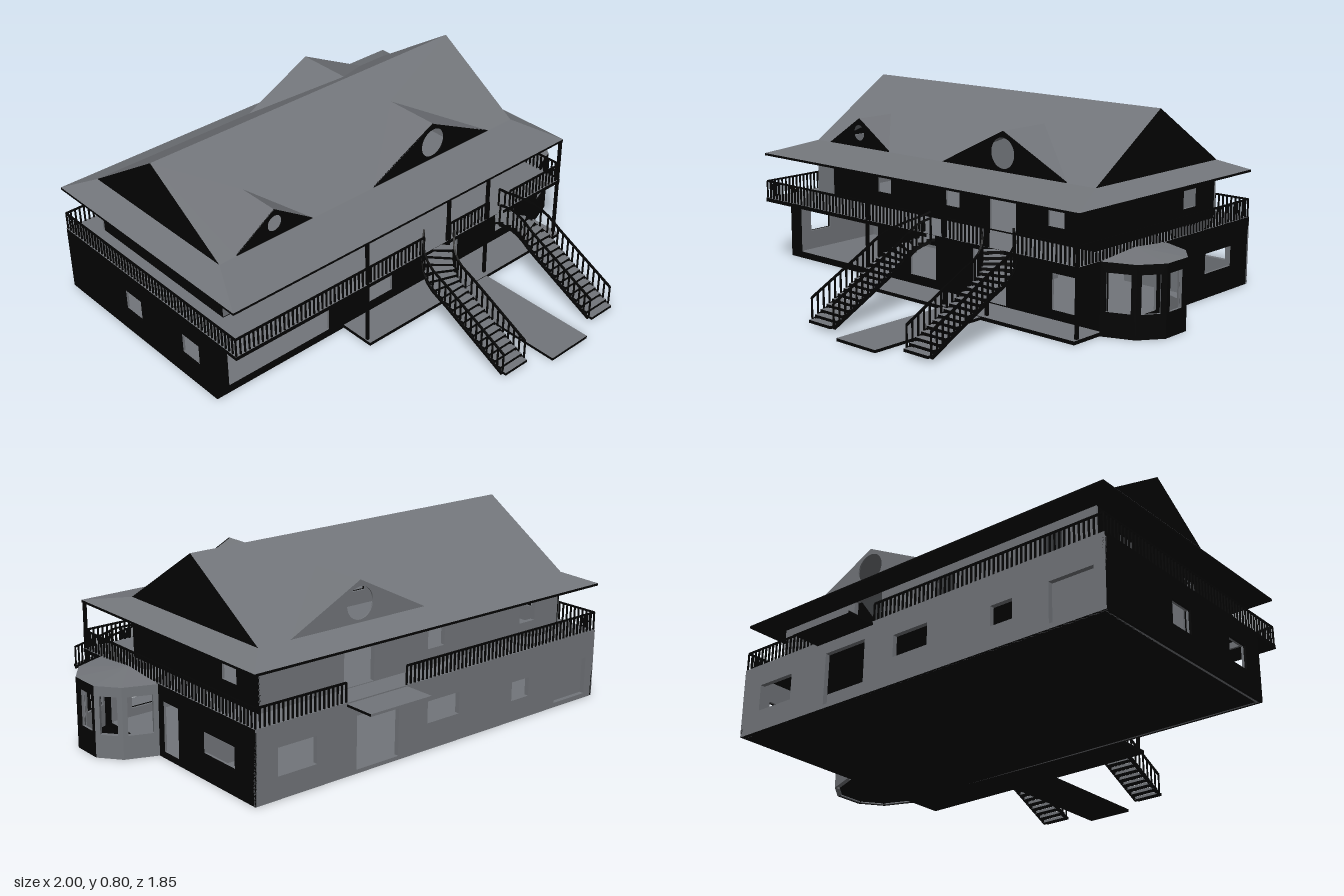
import * as THREE from 'three';

export function createModel() {
  const model = new THREE.Group();
  model.name = 'house';
  const side = THREE.DoubleSide;
  const gray = new THREE.MeshStandardMaterial({ color: 0x72757a, side });
  gray.name = 'slate gray';
  const black = new THREE.MeshStandardMaterial({ color: 0x030303, side });
  black.name = 'black';
  const mixed = [black, black, gray, black, black, gray]; // gray tops and backs

  const add = (name, geo, mat, parent = model) => {
    const m = new THREE.Mesh(geo, mat);
    m.name = name;
    parent.add(m);
    return m;
  };
  const group = (name) => {
    const g = new THREE.Group();
    g.name = name;
    model.add(g);
    return g;
  };
  // box given by its limits
  const box = (name, x0, x1, y0, y1, z0, z1, mat = mixed, parent = model) => {
    const m = add(name, new THREE.BoxGeometry(x1 - x0, y1 - y0, z1 - z0), mat, parent);
    m.position.set((x0 + x1) / 2, (y0 + y1) / 2, (z0 + z1) / 2);
    return m;
  };
  // square bar between two points
  const bar = (name, a, b, t, parent, mat = black) => {
    const p = new THREE.Vector3(...a), q = new THREE.Vector3(...b);
    const m = add(name, new THREE.BoxGeometry(t, t, p.distanceTo(q)), mat, parent);
    m.position.copy(p).lerp(q, 0.5);
    m.lookAt(q);
    return m;
  };
  const poly = (pts) => new THREE.Shape(pts.map((p) => new THREE.Vector2(...p)));
  const rect = (x0, x1, y0, y1) => poly([[x0, y0], [x1, y0], [x1, y1], [x0, y1]]);
  const faces = (name, list, mat = gray) => {
    const pos = [];
    for (const f of list)
      for (let i = 1; i < f.length - 1; i++) pos.push(...f[0], ...f[i], ...f[i + 1]);
    const g = new THREE.BufferGeometry();
    g.setAttribute('position', new THREE.Float32BufferAttribute(pos, 3));
    g.computeVertexNormals();
    return add(name, g, mat);
  };
  // wall from a to b (x, z) with rectangular holes [u0, u1, y0, y1]; gray lining inside
  const wall = (name, a, b, y0, y1, holes, outer = black) => {
    const dx = b[0] - a[0], dz = b[1] - a[1], L = Math.hypot(dx, dz);
    const g = group(name);
    [[0, -0.01, outer], [0.01, -0.02, gray]].forEach(([inset, z, mat], i) => {
      const s = rect(inset, L - inset, y0, y1);
      s.holes = holes.map((h) => rect(...h));
      const geo = new THREE.ExtrudeGeometry(s, { depth: 0.01, bevelEnabled: false });
      geo.translate(0, 0, z);
      add(i ? 'lining' : 'cladding', geo, mat, g);
    });
    g.position.set(a[0], 0, a[1]);
    g.rotation.y = Math.atan2(-dz, dx);
  };

  // floors, porch and path
  box('groundFloor', -1, 0.8, 0, 0.015, -0.8, 0.2);
  box('porchFloor', -0.35, 0.8, 0, 0.015, 0.2, 0.36);
  box('path', 0.12, 0.33, 0, 0.012, 0.36, 0.92);
  box('balconyFloor', -1, 0.8, 0.275, 0.292, -0.8, 0.34);
  box('backCanopy', 0.08, 0.38, 0.277, 0.287, -0.93, -0.8);

  // ground floor walls
  wall('groundFrontWall', [-1, 0.2], [0.8, 0.2], 0, 0.28,
    [[0.06, 0.58, 0.025, 0.25], [0.77, 0.93, 0.05, 0.2], [1.13, 1.32, 0.016, 0.23], [1.55, 1.68, 0.05, 0.2]]);
  wall('groundRightWall', [0.8, 0.2], [0.8, -0.8], 0, 0.28,
    [[0.04, 0.36, 0.02, 0.26], [0.42, 0.53, 0.02, 0.23], [0.68, 0.88, 0.1, 0.19]]);
  wall('groundBackWall', [0.8, -0.8], [-1, -0.8], 0, 0.28,
    [[0.1, 0.28, 0.09, 0.2], [0.47, 0.68, 0.016, 0.23], [0.83, 1.0, 0.11, 0.2],
      [1.3, 1.4, 0.09, 0.17], [1.56, 1.75, 0.02, 0.18]], gray);
  wall('groundLeftWall', [-1, -0.8], [-1, 0.2], 0, 0.28,
    [[0.4, 0.52, 0.1, 0.2], [0.78, 0.9, 0.1, 0.2]]);
  box('garageDoor', -0.96, -0.75, 0.016, 0.19, -0.775, -0.765, gray);
  box('leftPartition', -0.98, -0.36, 0.015, 0.275, -0.3, -0.29, gray);
  box('rightPartition', 0.42, 0.78, 0.015, 0.275, -0.45, -0.44, gray);

  // upper floor walls
  const X0 = -0.89, X1 = 0.7, Z0 = -0.69, Z1 = 0.12, EY = 0.54, RY = 0.8, RZ = -0.285;
  wall('upperFrontWall', [X0, Z1], [X1, Z1], 0.29, EY,
    [[0.38, 0.47, 0.355, 0.44], [0.79, 0.88, 0.355, 0.44], [1.04, 1.19, 0.295, 0.49], [1.35, 1.44, 0.355, 0.44]]);
  wall('upperRightWall', [X1, Z1], [X1, Z0], 0.29, EY, [[0.58, 0.68, 0.36, 0.44]]);
  wall('upperBackWall', [X1, Z0], [X0, Z0], 0.29, EY,
    [[0.4, 0.55, 0.295, 0.49], [0.83, 0.92, 0.36, 0.44], [1.35, 1.44, 0.36, 0.44]], gray);
  wall('upperLeftWall', [X0, Z0], [X0, Z1], 0.29, EY, [[0.13, 0.23, 0.36, 0.44], [0.55, 0.65, 0.36, 0.44]]);
  box('cornerPanel', X0, -0.79, 0.3, 0.49, Z1, Z1 + 0.005, gray);

  // main roof slopes, notched where the dormers open
  const slope = (name, zEave, dormers) => {
    const pts = [[X0, 0]];
    for (const [c, w, top] of dormers) pts.push([c - w, 0], [c, (top - EY) / (RY - EY)], [c + w, 0]);
    pts.push([X1, 0], [X1, 1], [X0, 1]);
    const g = new THREE.ShapeGeometry(poly(pts));
    const p = g.attributes.position;
    for (let i = 0; i < p.count; i++) {
      const t = p.getY(i);
      p.setXYZ(i, p.getX(i), EY + (RY - EY) * t, zEave + (RZ - zEave) * t);
    }
    // keep outward winding on the back slope
    if (zEave < RZ) g.setIndex([...g.index.array].reverse());
    g.computeVertexNormals();
    add(name, g, gray);
  };
  const front = [[-0.62, 0.19, 0.665, 0.035, 0.602], [0.225, 0.335, 0.705, 0.064, 0.615]];
  const back = [[0.225, 0.33, 0.705, 0.064, 0.615]];
  slope('frontRoofSlope', Z1, front);
  slope('backRoofSlope', Z0, back);
  faces('gableEnds', [
    [[X1, EY, Z1], [X1, EY, Z0], [X1, RY, RZ]],
    [[X0, EY, Z0], [X0, EY, Z1], [X0, RY, RZ]],
  ], black);

  // dormers: gable with a round window and two small slopes
  const dormer = (name, zFace, [c, w, top, r, cy], mat) => {
    const s = poly([[c - w, EY], [c + w, EY], [c, top]]);
    s.holes.push(new THREE.Path().absarc(c, cy, r, 0, Math.PI * 2, true));
    const g = new THREE.ExtrudeGeometry(s, { depth: 0.006, bevelEnabled: false, curveSegments: 24 });
    add(name + 'Gable', g, mat).position.z = zFace - (zFace > RZ ? 0.006 : 0);
    const zi = zFace + (RZ - zFace) * (top - EY) / (RY - EY);
    const L = [c - w, EY, zFace], R = [c + w, EY, zFace], T = [c, top, zFace], I = [c, top, zi];
    faces(name + 'Slopes', zFace > RZ ? [[L, T, I], [R, I, T]] : [[L, I, T], [R, T, I]]);
  };
  dormer('smallFrontDormer', Z1, front[0], black);
  dormer('largeFrontDormer', Z1, front[1], black);
  dormer('backDormer', Z0, back[0], gray);

  // shallow skirt roof and its soffit
  const o = [[-1, 0.34], [0.8, 0.34], [0.8, -0.8], [-1, -0.8]];
  const n = [[X0, Z1], [X1, Z1], [X1, Z0], [X0, Z0]];
  faces('skirtRoof', o.map((p, i) => {
    const j = (i + 1) % 4;
    return [[p[0], 0.495, p[1]], [o[j][0], 0.495, o[j][1]], [n[j][0], EY, n[j][1]], [n[i][0], EY, n[i][1]]];
  }));
  const ring = poly(o);
  ring.holes.push(poly(n));
  const soffit = new THREE.ExtrudeGeometry(ring, { depth: 0.009, bevelEnabled: false });
  soffit.rotateX(Math.PI / 2);
  add('soffit', soffit, black).position.y = 0.494;

  // bay window on the right side
  const bay = [[0.8, 0.21], [0.93, 0.16], [1, 0.065], [1, -0.065], [0.93, -0.15], [0.8, -0.2]];
  for (let i = 0; i < 5; i++) {
    const L = Math.hypot(bay[i + 1][0] - bay[i][0], bay[i + 1][1] - bay[i][1]);
    wall('bayPanel', bay[i], bay[i + 1], 0, 0.29, [[0.02, L - 0.02, 0.095, 0.25]], i > 2 ? gray : black);
  }
  faces('bayRoof', bay.slice(0, 5).map((p, i) =>
    [[p[0], 0.29, p[1]], [bay[i + 1][0], 0.29, bay[i + 1][1]], [0.8, 0.308, 0]]));
  faces('bayFloor', [bay.map((p) => [p[0], 0.004, p[1]]).reverse()], black);

  // balcony railing
  const railing = group('balconyRailing');
  const rail = (a, b) => {
    bar('handrail', [a[0], 0.368, a[1]], [b[0], 0.368, b[1]], 0.007, railing);
    const count = Math.round(Math.hypot(b[0] - a[0], b[1] - a[1]) / 0.021);
    for (let i = 0; i <= count; i++) {
      const x = a[0] + (b[0] - a[0]) * i / count, z = a[1] + (b[1] - a[1]) * i / count;
      box('baluster', x - 0.003, x + 0.003, 0.29, 0.368, z - 0.003, z + 0.003, black, railing);
    }
  };
  const l = -0.995, r = 0.795, f = 0.335, k = -0.795;
  [[[l, f], [-0.03, f]], [[0.1, f], [0.35, f]], [[0.48, f], [r, f]], [[r, f], [r, k]],
    [[l, f], [l, k]], [[l, k], [0.08, k]], [[0.38, k], [r, k]]].forEach(([a, b]) => rail(a, b));

  // porch posts
  for (const x of [-0.34, 0.11, 0.34, 0.79])
    box('porchPost', x - 0.006, x + 0.006, 0.015, 0.49, 0.328, 0.34, black);

  // twin outside stairs, turning inward at the top
  const path = new THREE.CatmullRomCurve3(
    [[-0.26, 0.85], [-0.26, 0.7], [-0.26, 0.56], [-0.26, 0.46], [-0.235, 0.4], [-0.18, 0.345]]
      .map(([x, z]) => new THREE.Vector3(x, 0, z)));
  for (const s of [1, -1]) {
    const g = group(s > 0 ? 'rightStair' : 'leftStair');
    const N = 18;
    let last = null;
    for (let i = 0; i <= N; i++) {
      const p = path.getPointAt(i / N), t = path.getTangentAt(i / N);
      const y = 0.02 + 0.265 * i / N, x = 0.225 + s * p.x;
      const tread = box('tread', -0.062, 0.062, -0.006, 0.006, -0.017, 0.017, mixed, g);
      tread.position.set(x, y, p.z);
      tread.rotation.y = Math.atan2(-t.x * s, -t.z);
      const ends = [-0.062, 0.062].map((w) => [x - t.z * w, p.z + t.x * s * w]);
      ends.forEach(([ex, ez], e) => {
        bar('baluster', [ex, y, ez], [ex, y + 0.09, ez + 0.0001], 0.006, g);
        if (!last) return;
        const [lx, lz] = last.ends[e];
        bar('handrail', [lx, last.y + 0.09, lz], [ex, y + 0.09, ez], 0.008, g);
        bar('stringer', [lx, last.y - 0.006, lz], [ex, y - 0.006, ez], 0.012, g);
      });
      last = { ends, y };
    }
  }

  // indoor stair behind the front door
  const indoor = group('indoorStair');
  for (let i = 0; i < 12; i++)
    box('step', 0.17, 0.28, 0.015 + i * 0.02, 0.033 + i * 0.02, -0.1 - i * 0.035, -0.065 - i * 0.035, gray, indoor);

  return model;
}
